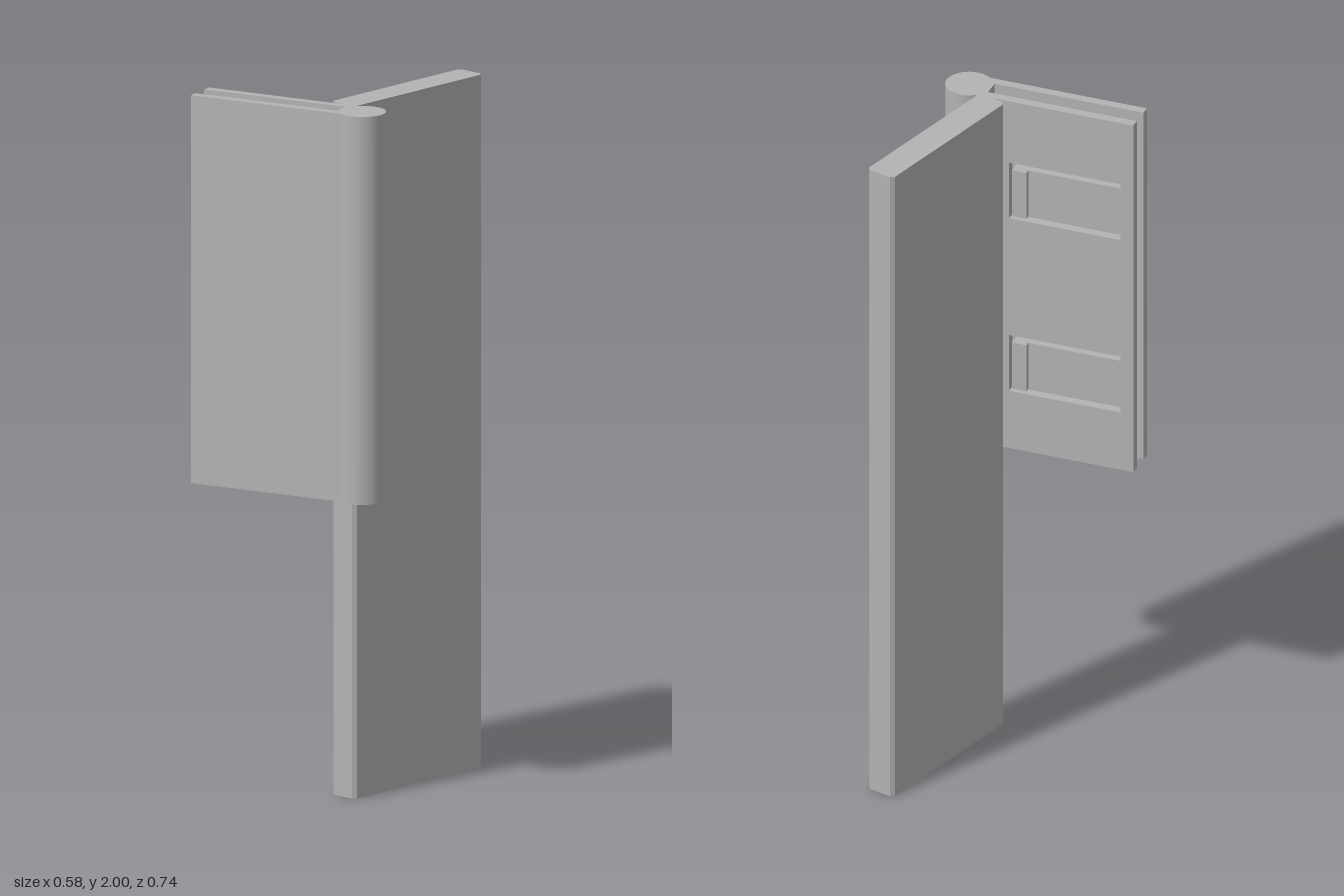
import * as THREE from 'three';
import { toCreasedNormals } from 'three/addons/utils/BufferGeometryUtils.js';

const grey = new THREE.MeshStandardMaterial({ color: 0xb3b3b3 });
grey.name = 'grey';

function add(parent, name, geometry, x = 0, y = 0, z = 0) {
  const mesh = new THREE.Mesh(geometry, grey);
  mesh.name = name;
  mesh.position.set(x, y, z);
  parent.add(mesh);
  return mesh;
}

// Stands a plan outline (x, -z) up to a given height
function upright(shape, height) {
  const g = new THREE.ExtrudeGeometry(shape, { depth: height, bevelEnabled: false, curveSegments: 64 });
  g.rotateX(-Math.PI / 2);
  return toCreasedNormals(g, 0.5);
}

const outline = (pts) => new THREE.Shape(pts.map(([x, z]) => new THREE.Vector2(x, -z)));

function rect(target, x0, y0, x1, y1) {
  target.moveTo(x0, y0);
  target.lineTo(x1, y0);
  target.lineTo(x1, y1);
  target.lineTo(x0, y1);
  target.closePath();
  return target;
}

export function createModel() {
  const model = new THREE.Group();
  model.name = 'hingeClip';

  // Long plate with chamfered vertical edges
  const [l, r, b, f, c] = [0.075, 0.165, -0.372, 0.158, 0.01];
  add(model, 'longPlate', upright(outline([
    [l + c, b], [r - c, b], [r, b + c], [r, f - c],
    [r - c, f], [l + c, f], [l, f - c], [l, b + c],
  ]), 2));

  // Clip, turned 15 degrees: x runs to the barrel, z to the front
  const clip = new THREE.Group();
  clip.name = 'clip';
  clip.position.set(-0.29, 0.88, 0.27);
  clip.rotation.y = Math.PI / 12;
  model.add(clip);
  const height = 1.12, arm = 0.027, gapEnd = 0.449, depth = 0.105;

  // Front arm, web and round barrel in one profile
  const body = new THREE.Shape();
  body.moveTo(0, -0.078);
  body.lineTo(gapEnd, -0.078);
  body.lineTo(gapEnd, 0);
  body.lineTo(0.474, 0);
  body.absarc(0.516, -depth / 2, 0.067, 2.245, -2.245, true);
  body.lineTo(0, -depth);
  body.closePath();
  add(clip, 'frontArmAndBarrel', upright(body, height));

  // Back arm with two windows, each holding a spring tongue
  const wall = rect(new THREE.Shape(), 0, 0, gapEnd, height);
  const windowHeight = 0.18, slot = 0.016;
  for (const y of [0.185, 0.742]) {
    wall.holes.push(rect(new THREE.Path(), 0.038, y, 0.375, y + windowHeight));
    const h = windowHeight - 2 * slot, mid = y + windowHeight / 2;
    add(clip, 'springTongue', new THREE.BoxGeometry(0.324, h, 0.023), 0.2, mid, 0.0155);
    add(clip, 'pushPad', new THREE.BoxGeometry(0.044, h, 0.016), 0.34, mid, -0.003);
    add(clip, 'catchHook', upright(outline([
      [0.272, 0.026], [0.347, 0.026], [0.347, 0.077], [0.332, 0.077],
    ]), h), 0, y + slot, 0);
  }
  add(clip, 'backArm', new THREE.ExtrudeGeometry(wall, { depth: arm, bevelEnabled: false }));

  return model;
}
